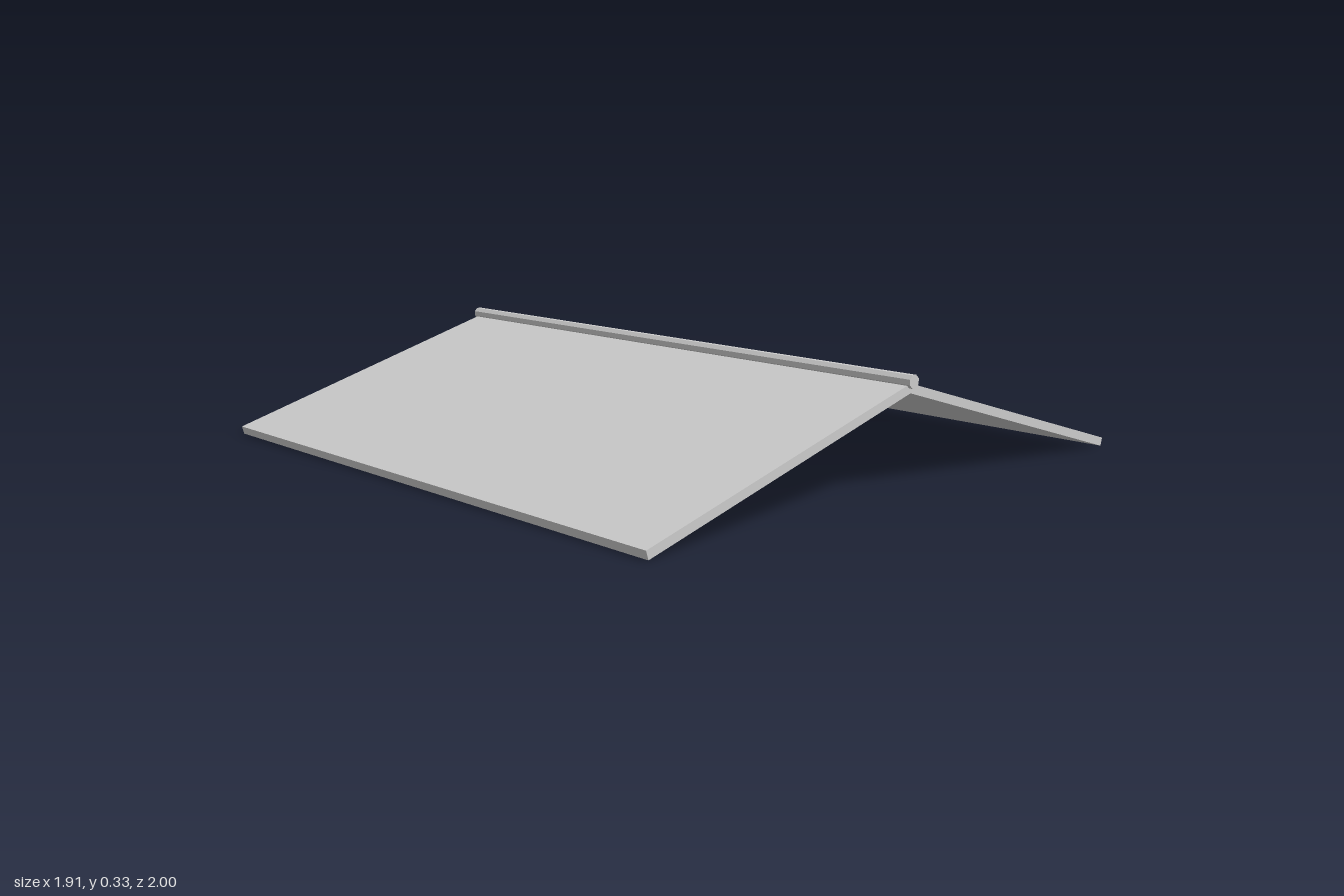
import * as THREE from 'three';

const PITCH = THREE.MathUtils.degToRad(16.5);
const SLOPE = 0.993;      // panel length from ridge to eave
const THICKNESS = 0.026;
const RIDGE_Y = 0.2945;   // height where the panel midlines meet

export function createModel() {
  const model = new THREE.Group();
  model.name = 'gableRoof';
  const material = new THREE.MeshStandardMaterial({ color: 0xcccccc, flatShading: true });

  // Two sloping panels, mirrored about the ridge
  for (const side of [1, -1]) {
    const panel = new THREE.Mesh(new THREE.BoxGeometry(SLOPE, THICKNESS, 1.976), material);
    panel.name = side > 0 ? 'leftRoofPanel' : 'rightRoofPanel';
    panel.rotation.z = -side * PITCH;
    panel.position.set(
      side * Math.cos(PITCH) * SLOPE / 2,
      RIDGE_Y - Math.sin(PITCH) * SLOPE / 2,
      0
    );
    model.add(panel);
  }

  // Eight-sided ridge pole, flat side up, slightly longer than the panels
  const pole = new THREE.CylinderGeometry(0.02, 0.02, 2, 8);
  pole.rotateY(Math.PI / 8).rotateX(Math.PI / 2);
  const ridge = new THREE.Mesh(pole, material);
  ridge.name = 'ridgePole';
  ridge.position.y = 0.314;
  model.add(ridge);

  return model;
}
